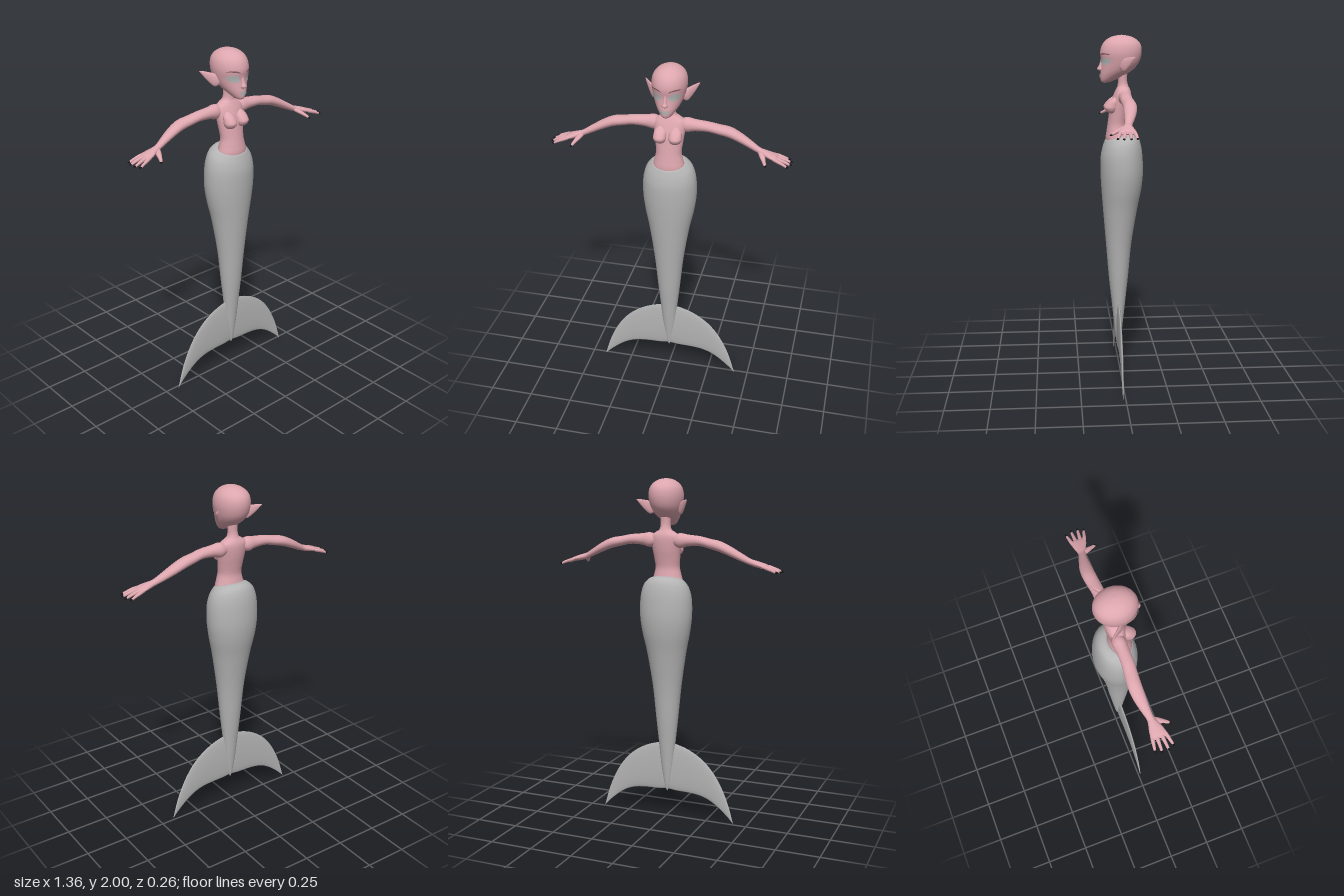
import * as THREE from 'three';

const mat = (name, color) => {
  const m = new THREE.MeshStandardMaterial({ color });
  m.name = name;
  return m;
};

// Smooth interpolation through rows of numbers, t in 0..1
function sample(rows, t) {
  const f = t * (rows.length - 1), i = Math.min(Math.floor(f), rows.length - 2), u = f - i;
  const at = k => rows[Math.max(0, Math.min(rows.length - 1, k))];
  const [a, b, c, d] = [at(i - 1), at(i), at(i + 1), at(i + 2)];
  return b.map((_, k) => 0.5 * (2 * b[k] + (c[k] - a[k]) * u
    + (2 * a[k] - 5 * b[k] + 4 * c[k] - d[k]) * u * u
    + (3 * b[k] - a[k] - 3 * c[k] + d[k]) * u * u * u));
}

// Closed skin over elliptic sections [x, y, z, radiusU, radiusV]; U x V points along the path
function loft(rows, U, V, sides = 24, steps = 5) {
  const n = (rows.length - 1) * steps, pos = [], idx = [];
  for (let i = 0; i <= n; i++) {
    const [x, y, z, a, b] = sample(rows, i / n);
    for (let j = 0; j < sides; j++) {
      const w = j / sides * Math.PI * 2;
      const p = Math.max(a, 0) * Math.cos(w), q = Math.max(b, 0) * Math.sin(w);
      pos.push(x + U[0] * p + V[0] * q, y + U[1] * p + V[1] * q, z + U[2] * p + V[2] * q);
    }
  }
  for (let i = 0; i < n; i++) for (let j = 0; j < sides; j++) {
    const k = (j + 1) % sides, a = i * sides + j, b = i * sides + k;
    idx.push(a, b, b + sides, a, b + sides, a + sides);
  }
  return build(pos, idx);
}

function build(pos, idx) {
  const g = new THREE.BufferGeometry();
  g.setAttribute('position', new THREE.Float32BufferAttribute(pos, 3));
  g.setIndex(idx);
  g.computeVertexNormals();
  return g;
}

// Upright body from rows [y, halfWidth, zFront, zBack]
const upright = (rows, sides = 36) => loft(
  rows.map(([y, w, f, b]) => [0, y, (f + b) / 2, (f - b) / 2, w]), [0, 0, 1], [1, 0, 0], sides);
const sideways = (rows, sides, steps) => loft(rows, [0, 1, 0], [0, 0, 1], sides, steps);

const ball = (x, y, z, a, b, c, seg = 20) =>
  new THREE.SphereGeometry(1, seg, Math.round(seg * 0.7)).scale(a, b, c).translate(x, y, z);

function mirrored(geo) {
  const g = geo.clone().scale(-1, 1, 1), a = g.index.array;
  for (let i = 0; i < a.length; i += 3) [a[i], a[i + 1]] = [a[i + 1], a[i]];
  return g;
}

const HEAD = [
  [1.733, 0, 0.09, 0.085], [1.738, 0.02, 0.106, 0.06], [1.752, 0.036, 0.113, 0.025],
  [1.78, 0.058, 0.114, -0.03], [1.81, 0.075, 0.111, -0.075], [1.85, 0.089, 0.108, -0.106],
  [1.9, 0.097, 0.115, -0.12], [1.945, 0.09, 0.103, -0.115], [1.975, 0.068, 0.077, -0.09],
  [1.993, 0.037, 0.04, -0.052], [2.0, 0, -0.005, -0.007],
];

// Front surface of the face at x, y
function faceZ(x, y) {
  let i = 0;
  while (i < HEAD.length - 2 && HEAD[i + 1][0] < y) i++;
  const u = (y - HEAD[i][0]) / (HEAD[i + 1][0] - HEAD[i][0]);
  const [, w, f, b] = HEAD[i].map((v, k) => v + (HEAD[i + 1][k] - v) * u);
  return (f + b) / 2 + (f - b) / 2 * Math.sqrt(Math.max(0, 1 - (x / w) ** 2));
}

// Thin almond patch that follows the face
function facePatch(cx, cy, w, h, tilt, bend = 0, lift = 0.004) {
  const pos = [], idx = [], nx = 14, ny = 6;
  for (let i = 0; i <= nx; i++) for (let j = 0; j <= ny; j++) {
    const u = i / nx * 2 - 1, v = j / ny * 2 - 1;
    const x = cx + u * w, y = cy + u * tilt - bend * u * u + v * h * Math.pow(1 - u * u, 0.6);
    pos.push(x, y, faceZ(x, y) + lift);
  }
  for (let i = 0; i < nx; i++) for (let j = 0; j < ny; j++) {
    const a = i * (ny + 1) + j, b = a + ny + 1;
    idx.push(a, b, b + 1, a, b + 1, a + 1);
  }
  return build(pos, idx);
}

export function createModel() {
  const root = new THREE.Group();
  const skin = mat('skin', 0xdda6ae), grey = mat('tailGrey', 0xb4b4b4);
  const black = mat('nailBlack', 0x151515), brown = mat('browMauve', 0x8a5f66);
  grey.side = THREE.DoubleSide;

  const add = (name, geo, m) => {
    const mesh = new THREE.Mesh(geo, m);
    mesh.name = name;
    root.add(mesh);
  };
  const pair = (name, geo, m) => {
    add(name + 'Left', geo, m);
    add(name + 'Right', mirrored(geo), m);
  };

  // Head, torso and neck
  add('head', upright(HEAD), skin);
  add('torso', upright([
    [1.36, 0.095, 0.08, -0.055], [1.42, 0.09, 0.085, -0.05], [1.46, 0.08, 0.08, -0.042],
    [1.5, 0.072, 0.074, -0.037], [1.55, 0.077, 0.067, -0.045], [1.6, 0.084, 0.06, -0.055],
    [1.65, 0.09, 0.045, -0.061], [1.68, 0.085, 0.033, -0.06], [1.7, 0.058, 0.024, -0.053],
    [1.716, 0.035, 0.017, -0.045], [1.75, 0.029, 0.014, -0.038], [1.82, 0.032, 0.02, -0.042],
  ]), skin);
  pair('breast', loft([
    [0.04, 1.562, 0.052, 0, 0], [0.042, 1.572, 0.054, 0.024, 0.025], [0.043, 1.592, 0.056, 0.037, 0.036],
    [0.043, 1.61, 0.052, 0.037, 0.036], [0.042, 1.638, 0.038, 0.026, 0.03], [0.042, 1.665, 0.022, 0, 0],
  ], [0, 0, 1], [1, 0, 0]), skin);

  // Face
  add('nose', upright([
    [1.798, 0, 0.11, 0.1], [1.803, 0.013, 0.124, 0.095], [1.812, 0.016, 0.132, 0.095],
    [1.83, 0.01, 0.122, 0.095], [1.855, 0.008, 0.113, 0.09], [1.88, 0, 0.108, 0.1],
  ], 16), skin);
  pair('eye', facePatch(0.049, 1.855, 0.03, 0.021, 0.004), grey);
  pair('brow', facePatch(0.05, 1.896, 0.033, 0.004, 0.004, 0.008), brown);
  add('lips', facePatch(0, 1.774, 0.026, 0.011, 0, 0.002, 0.005), grey);
  pair('ear', loft([
    [0.072, 1.832, 0.004, 0.02, 0.012], [0.095, 1.836, -0.014, 0.036, 0.011],
    [0.12, 1.854, -0.04, 0.026, 0.008], [0.14, 1.872, -0.062, 0.012, 0.005],
    [0.153, 1.884, -0.076, 0, 0],
  ], [0, 1, 0], [0.7, 0, 0.7], 16), skin);

  // Arm and palm in one skin
  pair('arm', sideways([
    [0.05, 1.655, -0.02, 0.025, 0.025], [0.09, 1.655, -0.02, 0.042, 0.038], [0.14, 1.657, -0.018, 0.033, 0.035],
    [0.21, 1.655, -0.018, 0.028, 0.034], [0.27, 1.643, -0.023, 0.028, 0.036],
    [0.33, 1.63, -0.027, 0.03, 0.037], [0.39, 1.605, -0.024, 0.028, 0.034],
    [0.45, 1.575, -0.015, 0.023, 0.026], [0.5, 1.55, -0.005, 0.018, 0.02],
    [0.53, 1.54, 0, 0.018, 0.028], [0.565, 1.531, 0.004, 0.016, 0.04],
    [0.595, 1.523, 0.006, 0.012, 0.042], [0.608, 1.519, 0.006, 0, 0.03],
  ], 24, 5), skin);

  // Fingers with dark nails: [base z, tip x, tip z]
  [[-0.028, 0.66, -0.04], [-0.006, 0.674, -0.007], [0.017, 0.674, 0.03], [0.038, 0.66, 0.061]]
    .forEach(([bz, tx, tz], i) => {
      const p = (t, r) => [0.575 + (tx - 0.575) * t, 1.527 - 0.029 * t + 0.008 * t * (1 - t), bz + (tz - bz) * t, r, r];
      pair('finger' + (i + 1), sideways([p(0, 0.009), p(0.3, 0.0105), p(0.6, 0.009), p(0.9, 0.007), p(1, 0)], 12, 4), skin);
      pair('nail' + (i + 1), ball(tx - 0.001, 1.5, tz, 0.009, 0.005, 0.006, 12), black);
    });
  pair('thumb', loft([
    [0.505, 1.543, 0.005, 0.012, 0.014], [0.52, 1.532, 0.032, 0.012, 0.016],
    [0.532, 1.52, 0.06, 0.01, 0.011], [0.541, 1.51, 0.08, 0.008, 0.008], [0.546, 1.505, 0.09, 0, 0],
  ], [0, 1, 0], [-0.85, 0, 0.5], 12, 4), skin);
  pair('thumbNail', ball(0.545, 1.505, 0.087, 0.006, 0.005, 0.008, 12), black);

  // Tail, with its rim tilted up toward the back
  const tail = upright([
    [0.15, 0, 0.015, 0.011], [0.18, 0.012, 0.022, 0.002], [0.3, 0.034, 0.037, -0.013],
    [0.45, 0.05, 0.053, -0.029], [0.6, 0.066, 0.069, -0.045], [0.8, 0.086, 0.085, -0.064],
    [1.0, 0.116, 0.101, -0.096], [1.12, 0.141, 0.11, -0.12], [1.22, 0.154, 0.115, -0.13],
    [1.32, 0.152, 0.114, -0.125], [1.385, 0.136, 0.105, -0.108], [1.42, 0.112, 0.095, -0.083],
    [1.437, 0.09, 0.086, -0.053], [1.43, 0.078, 0.075, -0.04],
  ], 40);
  const tp = tail.attributes.position;
  for (let i = 0; i < tp.count; i++) {
    const k = THREE.MathUtils.smoothstep(tp.getY(i), 1.25, 1.43);
    tp.setY(i, tp.getY(i) - 0.3 * k * tp.getZ(i));
  }
  tail.computeVertexNormals();
  add('tail', tail, grey);

  // Flukes from rows [x, bottom, top, half thickness]
  pair('fluke', sideways([
    [0, 0.165, 0.452, 0.012], [0.06, 0.158, 0.447, 0.012], [0.13, 0.156, 0.425, 0.011],
    [0.2, 0.149, 0.387, 0.01], [0.26, 0.13, 0.336, 0.009], [0.31, 0.1, 0.272, 0.008],
    [0.35, 0.068, 0.2, 0.006], [0.385, 0.036, 0.115, 0.005], [0.415, 0.004, 0.012, 0.002], [0.417, 0.003, 0.003, 0],
  ].map(([x, b, t, h]) => [x, (b + t) / 2, 0.014, (t - b) / 2, h]), 20, 4), grey);

  return root;
}
